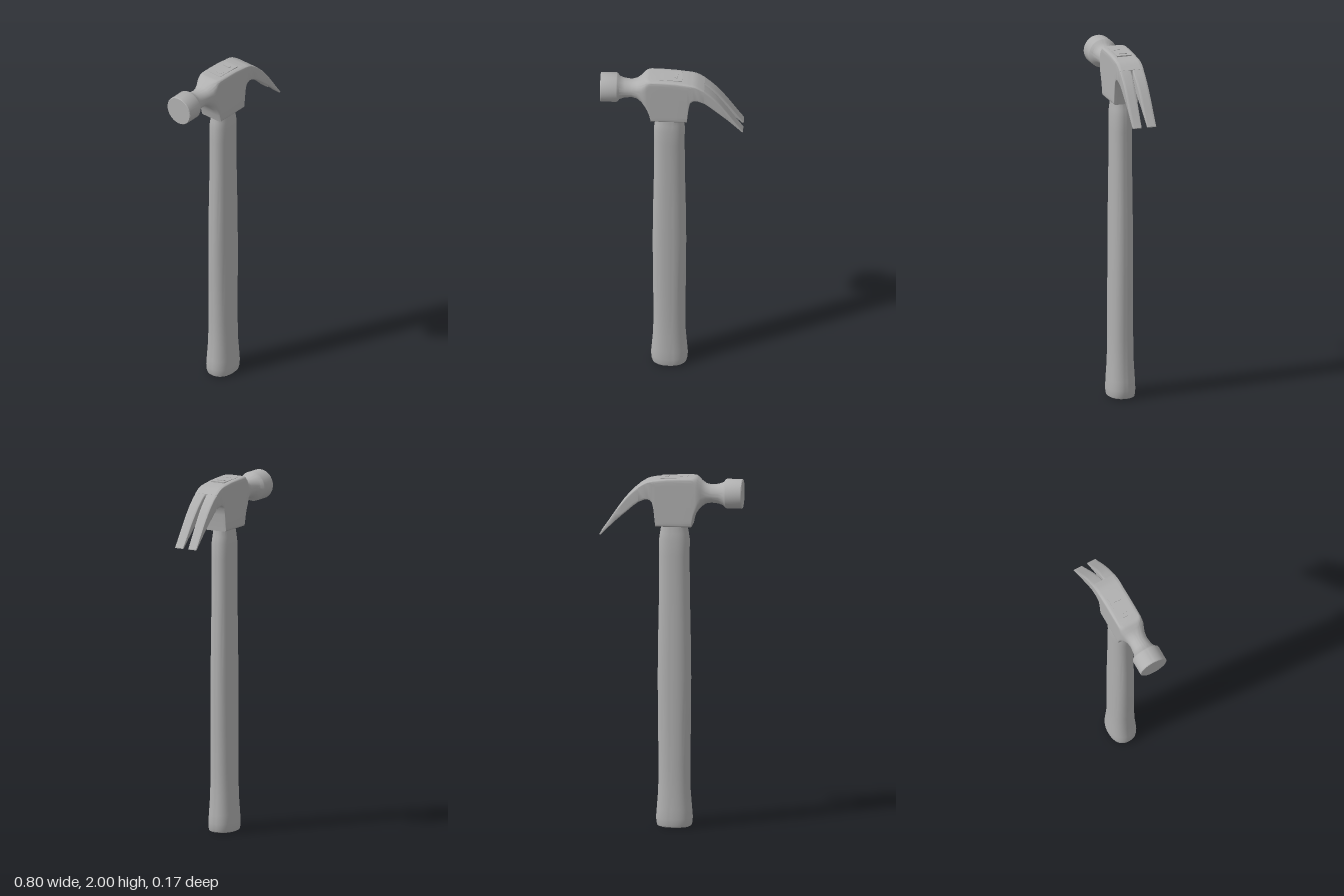
import * as THREE from 'three';
import { toCreasedNormals } from 'three/addons/utils/BufferGeometryUtils.js';

const steel = new THREE.MeshStandardMaterial({ color: 0xb0b0b0 });
steel.name = 'plain grey';

// Superellipse ring: n = 2 is an oval, large n is nearly a rectangle
function ring(n, place, count = 48) {
  const pow = (v) => Math.sign(v) * Math.abs(v) ** (2 / n);
  return Array.from({ length: count }, (_, i) => {
    const t = ((i + 0.5) / count) * Math.PI * 2;
    return place(pow(Math.cos(t)), pow(Math.sin(t)));
  });
}

// Skin a row of equal rings and cap both ends
function loft(rings, crease = 0.6) {
  const n = rings[0].length;
  const pos = rings.flat(2);
  const index = [];
  for (let r = 0; r < rings.length - 1; r++) {
    for (let j = 0; j < n; j++) {
      const a = r * n + j, b = r * n + ((j + 1) % n);
      index.push(a, b, b + n, a, b + n, a + n);
    }
  }
  [0, rings.length - 1].forEach((r, end) => {
    const mid = [0, 1, 2].map((k) => rings[r].reduce((s, p) => s + p[k], 0) / n);
    const c = pos.length / 3;
    pos.push(...mid);
    for (let j = 0; j < n; j++) {
      const a = r * n + j, b = r * n + ((j + 1) % n);
      if (end) index.push(c, a, b); else index.push(c, b, a);
    }
  });
  const g = new THREE.BufferGeometry();
  g.setAttribute('position', new THREE.Float32BufferAttribute(pos, 3));
  g.setIndex(index);
  return toCreasedNormals(g, crease);
}

// Ring across x between heights and depths
const xRing = (x, top, bottom, z0, z1, n) => ring(n, (u, v) => [
  x, (top + bottom) / 2 + (u * (top - bottom)) / 2, (z0 + z1) / 2 + (v * (z1 - z0)) / 2]);

export function createModel() {
  const group = new THREE.Group();
  const add = (name, geometry, x = 0, y = 0, z = 0) => {
    const mesh = new THREE.Mesh(geometry, steel);
    mesh.name = name;
    mesh.position.set(x, y, z);
    group.add(mesh);
    return mesh;
  };

  // Handle: y, half width, half depth
  const handle = [
    [0, 0.085, 0.066], [0.006, 0.096, 0.075], [0.02, 0.1, 0.078], [0.05, 0.103, 0.079],
    [0.1, 0.099, 0.077], [0.2, 0.091, 0.071], [0.35, 0.089, 0.068], [0.6, 0.092, 0.067],
    [0.85, 0.094, 0.066], [1.1, 0.091, 0.064], [1.35, 0.086, 0.061], [1.55, 0.085, 0.061],
    [1.64, 0.086, 0.061], [1.68, 0.08, 0.057], [1.72, 0.073, 0.052], [1.76, 0.072, 0.051],
  ];
  add('handle', loft(handle.map(([y, w, d]) =>
    ring(2.3, (u, v) => [-0.015 + v * w, y, u * d])), 0.7));

  // Striking face, neck and cheek: x, top, bottom, half depth, squareness
  const head = [
    [-0.4, 1.987, 1.827, 0.08, 2], [-0.396, 1.99, 1.824, 0.083, 2],
    [-0.31, 1.99, 1.824, 0.083, 2], [-0.304, 1.987, 1.827, 0.08, 2],
    [-0.293, 1.972, 1.84, 0.066, 2], [-0.265, 1.961, 1.85, 0.057, 2],
    [-0.225, 1.956, 1.854, 0.053, 2], [-0.195, 1.962, 1.849, 0.057, 2.3],
    [-0.17, 1.977, 1.832, 0.065, 3], [-0.152, 1.992, 1.812, 0.072, 4.5],
    [-0.138, 1.999, 1.79, 0.072, 7], [-0.127, 1.999, 1.765, 0.072, 11],
    [-0.116, 1.999, 1.72, 0.072, 16], [-0.05, 1.997, 1.72, 0.072, 18],
    [0.02, 1.993, 1.72, 0.072, 18], [0.085, 1.985, 1.72, 0.072, 18],
    [0.095, 1.983, 1.817, 0.072, 18], [0.103, 1.981, 1.855, 0.072, 18],
    [0.115, 1.979, 1.869, 0.072, 18], [0.13, 1.975, 1.875, 0.072, 18],
    [0.15, 1.966, 1.872, 0.072, 18], [0.182, 1.945, 1.858, 0.071, 18],
  ];
  add('head', loft(head.map(([x, t, b, d, n]) => xRing(x, t, b, -d, d, n))));

  // Two tapering claw tines with a widening slot: x, top, bottom
  const tine = [
    [0.18, 1.946, 1.859], [0.21, 1.921, 1.836], [0.245, 1.886, 1.805],
    [0.275, 1.85, 1.779], [0.31, 1.802, 1.748], [0.345, 1.75, 1.714],
    [0.375, 1.705, 1.684], [0.392, 1.681, 1.666], [0.399, 1.671, 1.667],
  ];
  for (const side of [1, -1]) {
    add(side > 0 ? 'frontClaw' : 'backClaw', loft(tine.map(([x, t, b]) => {
      const f = (x - 0.18) / 0.22;
      const inner = 0.003 + 0.014 * f, outer = 0.071 - 0.002 * f;
      return side > 0 ? xRing(x, t, b, inner, outer, 10) : xRing(x, t, b, -outer, -inner, 10);
    })));
  }

  // Handle end showing through the top of the head, with two wedges
  const eye = add('handleEnd', new THREE.BoxGeometry(0.147, 0.009, 0.086), -0.016, 1.993, 0);
  eye.rotation.z = -0.03;
  [[-0.055, 0.05], [0.024, -0.1]].forEach(([x, turn]) => {
    const wedge = add('wedge', new THREE.BoxGeometry(0.018, 0.006, 0.044), x, 1.997, x < 0 ? 0.006 : -0.003);
    wedge.rotation.y = turn;
  });
  return group;
}
